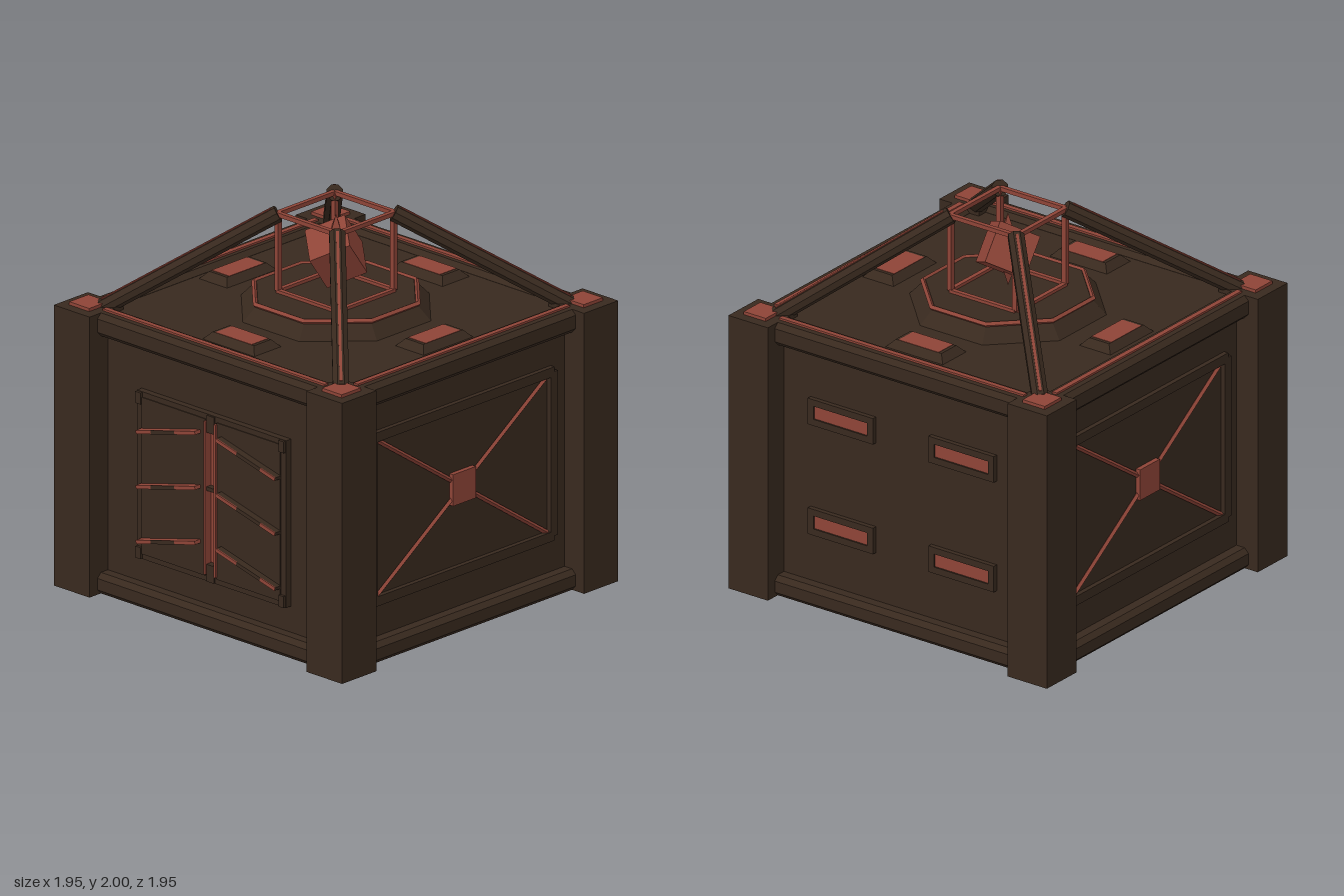
import * as THREE from 'three';

const brown = new THREE.MeshStandardMaterial({ color: 0x38291e });
brown.name = 'dark brown';
const red = new THREE.MeshStandardMaterial({ color: 0x8e4437 });
red.name = 'rust red';

function add(parent, name, geometry, material, x = 0, y = 0, z = 0) {
  const mesh = new THREE.Mesh(geometry, material);
  mesh.name = name;
  mesh.position.set(x, y, z);
  parent.add(mesh);
  return mesh;
}

const box = (w, h, d) => new THREE.BoxGeometry(w, h, d);

function group(parent, name, angle = 0) {
  const g = new THREE.Group();
  g.name = name;
  g.rotation.y = angle;
  parent.add(g);
  return g;
}

// Flat faceted version of a geometry
function facet(geometry) {
  const g = geometry.toNonIndexed();
  g.computeVertexNormals();
  return g;
}

// Block whose top is smaller than its base; base at y = 0
function taperedBlock(w, h, d, inset) {
  const g = box(w, h, d);
  const p = g.attributes.position;
  for (let i = 0; i < p.count; i++) {
    if (p.getY(i) > 0) {
      p.setX(i, p.getX(i) - Math.sign(p.getX(i)) * inset);
      p.setZ(i, p.getZ(i) - Math.sign(p.getZ(i)) * inset);
    }
  }
  g.translate(0, h / 2, 0);
  return facet(g);
}

// Chamfered beam along x
function railGeometry(length, h, d, c) {
  const a = d / 2, b = h / 2;
  const points = [[a, b - c], [a - c, b], [c - a, b], [-a, b - c], [-a, c - b], [c - a, -b], [a - c, -b], [a, c - b]];
  const shape = new THREE.Shape(points.map(([x, y]) => new THREE.Vector2(x, y)));
  const g = new THREE.ExtrudeGeometry(shape, { depth: length, bevelEnabled: false });
  return g.translate(0, 0, -length / 2).rotateY(Math.PI / 2);
}

// Rectangular frame in the xy plane, with optional stepped corners
function frameGeometry(w, h, border, depth, step = 0) {
  const x = w / 2, y = h / 2, s = step;
  const corner = [[x, y - s], [x - s, y - s], [x - s, y]];
  const flip = (sx, sy) => corner.map(([a, b]) => new THREE.Vector2(a * sx, b * sy));
  const outline = s
    ? [...flip(1, 1), ...flip(-1, 1).reverse(), ...flip(-1, -1), ...flip(1, -1).reverse()]
    : [[x, y], [-x, y], [-x, -y], [x, -y]].map(([a, b]) => new THREE.Vector2(a, b));
  const shape = new THREE.Shape(outline);
  const u = x - border, v = y - border;
  shape.holes.push(new THREE.Path([[u, v], [u, -v], [-u, -v], [-u, v]].map(([a, b]) => new THREE.Vector2(a, b))));
  return new THREE.ExtrudeGeometry(shape, { depth, bevelEnabled: false });
}

// Bar between two points of a wall plane, optionally rolled about its length
function wallBar(parent, name, [x1, y1], [x2, y2], width, depth, z, material, roll = 0) {
  const bar = add(parent, name, box(Math.hypot(x2 - x1, y2 - y1), width, depth), material, (x1 + x2) / 2, (y1 + y2) / 2, z);
  bar.rotation.set(roll, 0, Math.atan2(y2 - y1, x2 - x1), 'ZYX');
}

const WALL = 0.845;
const ROOF = 1.47;

function buildShell(model) {
  add(model, 'body', box(2 * WALL, ROOF - 0.06, 2 * WALL), brown, 0, (ROOF + 0.06) / 2, 0);

  // Corner posts with caps and feet, and two plates underneath
  for (const x of [-0.855, 0.855]) {
    for (const z of [-0.855, 0.855]) {
      add(model, 'cornerPost', box(0.242, 1.468, 0.242), brown, x, 0.762, z);
      add(model, 'postCap', box(0.135, 0.017, 0.135), red, x, 1.504, z);
      add(model, 'foot', box(0.135, 0.028, 0.135), red, x, 0.014, z);
    }
    add(model, 'undersidePlate', box(0.34, 0.006, 0.26), red, Math.sign(x) * 0.58, 0.058, 0.54);
  }

  // Edge rails and roof hatches on all four sides
  for (let i = 0; i < 4; i++) {
    const side = group(model, 'edgeSide', i * Math.PI / 2);
    add(side, 'topRail', railGeometry(1.5, 0.12, 0.13, 0.025), brown, 0, 1.436, 0.855);
    add(side, 'bottomRail', railGeometry(1.5, 0.11, 0.13, 0.025), brown, 0, 0.083, 0.855);
    add(side, 'railStrip', box(1.5, 0.012, 0.028), red, 0, 1.5, 0.852);
    add(side, 'roofHatch', taperedBlock(0.35, 0.038, 0.19, 0.035), brown, 0, ROOF, 0.665);
    add(side, 'hatchPlate', box(0.245, 0.006, 0.12), red, 0, ROOF + 0.037, 0.665);
  }
}

// Double front door with slanted slats
function buildDoor(model) {
  const door = group(model, 'door');
  add(door, 'doorFrame', frameGeometry(1.01, 0.875, 0.035, 0.035), brown, 0, 0.712, WALL);
  add(door, 'doorSeam', box(0.05, 0.69, 0.012), red, 0, 0.714, WALL + 0.006);
  for (const y of [0.322, 0.762, 1.102]) {
    add(door, 'seamClasp', box(0.05, y === 0.762 ? 0.02 : 0.09, 0.045), brown, 0, y, WALL + 0.0225);
  }
  for (const s of [-1, 1]) {
    add(door, 'doorLeaf', box(0.43, 0.82, 0.04), brown, s * 0.255, 0.712, WALL + 0.02);
    add(door, 'leafEdge', box(0.012, 0.8, 0.05), red, s * 0.035, 0.712, WALL + 0.025);
    for (const y of [0.307, 1.117]) {
      add(door, 'hinge', box(0.035, 0.06, 0.05), brown, s * 0.485, y, WALL + 0.025);
    }
    for (const y of [0.375, 0.662, 0.95]) {
      const at = (t) => [s * (0.47 - 0.4 * t), y + 0.1 * t];
      wallBar(door, 'slat', at(0), at(1), 0.018, 0.05, 0.897, s < 0 ? red : brown);
      wallBar(door, 'slatOuterTip', at(0), at(0.25), 0.019, 0.006, 0.922, red);
      wallBar(door, 'slatMiddle', at(0.25), at(0.65), 0.019, 0.006, 0.922, brown);
      wallBar(door, 'slatInnerTip', at(0.65), at(1), 0.019, 0.006, 0.922, red);
    }
  }
}

// Side walls: frame, crossed bars and centre plate
function buildSidePanels(model) {
  for (const s of [-1, 1]) {
    const panel = group(model, 'sidePanel', s * Math.PI / 2);
    add(panel, 'panelFrame', frameGeometry(1.32, 0.91, 0.05, 0.025, 0.025), brown, 0, 0.761, WALL);
    for (const [x, y] of [[1, 1], [-1, 1], [-1, -1], [1, -1]]) {
      wallBar(panel, 'crossBar', [x * 0.605, 0.761 + y * 0.41], [x * 0.05, 0.761 + y * 0.035],
        0.018, 0.018, WALL + 0.006, red, Math.PI / 4);
    }
    add(panel, 'centrePlate', box(0.16, 0.165, 0.025), red, 0, 0.765, WALL + 0.0125);
  }
}

// Back wall vents
function buildVents(model) {
  const back = group(model, 'backVents', Math.PI);
  for (const x of [-0.37, 0.37]) {
    for (const y of [0.465, 1.055]) {
      add(back, 'ventFrame', frameGeometry(0.4, 0.14, 0.035, 0.025), brown, x, y, WALL);
      add(back, 'ventPlate', box(0.33, 0.07, 0.008), red, x, y, WALL + 0.012);
    }
  }
}

// Octagonal base, cage, struts and the floating crystal
function buildTop(model) {
  const k = 1 / Math.cos(Math.PI / 8);
  const base = new THREE.CylinderGeometry(0.385 * k, 0.46 * k, 0.085, 8).rotateY(Math.PI / 8);
  add(model, 'octagonBase', facet(base), brown, 0, ROOF + 0.0425, 0);
  const rim = new THREE.TorusGeometry(0.397 * k, 0.014, 4, 8).rotateX(Math.PI / 2).rotateY(Math.PI / 8);
  add(model, 'octagonRim', facet(rim), red, 0, 1.55, 0);

  for (let i = 0; i < 4; i++) {
    const side = group(model, 'cageSide', i * Math.PI / 2);
    add(side, 'cagePost', box(0.027, 0.4, 0.027), red, 0.2, 1.765, 0.2);
    for (const y of [1.56, 1.965]) add(side, 'cageRail', box(0.4, 0.022, 0.024), red, 0, y, 0.203);

    const strut = group(side, 'strut');
    const low = new THREE.Vector3(0.81, 1.48, 0.81);
    const high = new THREE.Vector3(0.2, 1.966, 0.2);
    strut.position.copy(low).add(high).multiplyScalar(0.5);
    strut.quaternion.setFromRotationMatrix(new THREE.Matrix4().lookAt(high, low, new THREE.Vector3(0, 1, 0)));
    const length = low.distanceTo(high);
    const beam = new THREE.CylinderGeometry(0.043, 0.043, length, 8).rotateY(Math.PI / 8).rotateX(Math.PI / 2);
    add(strut, 'strutBeam', facet(beam), brown);
    add(strut, 'strutStripe', box(0.014, 0.008, length - 0.04), red, 0, 0.04, 0);
  }

  const cube = add(model, 'crystalCube', box(0.215, 0.215, 0.215), red, 0, 1.765, 0);
  cube.rotation.set(Math.atan(Math.SQRT1_2), Math.PI / 4, 0);
  const spike = add(model, 'crystalSpike', new THREE.OctahedronGeometry(1), red, 0, 1.767, 0);
  spike.scale.set(0.08, 0.195, 0.08);
}

export function createModel() {
  const model = new THREE.Group();
  model.name = 'crate';
  buildShell(model);
  buildDoor(model);
  buildSidePanels(model);
  buildVents(model);
  buildTop(model);
  return model;
}
